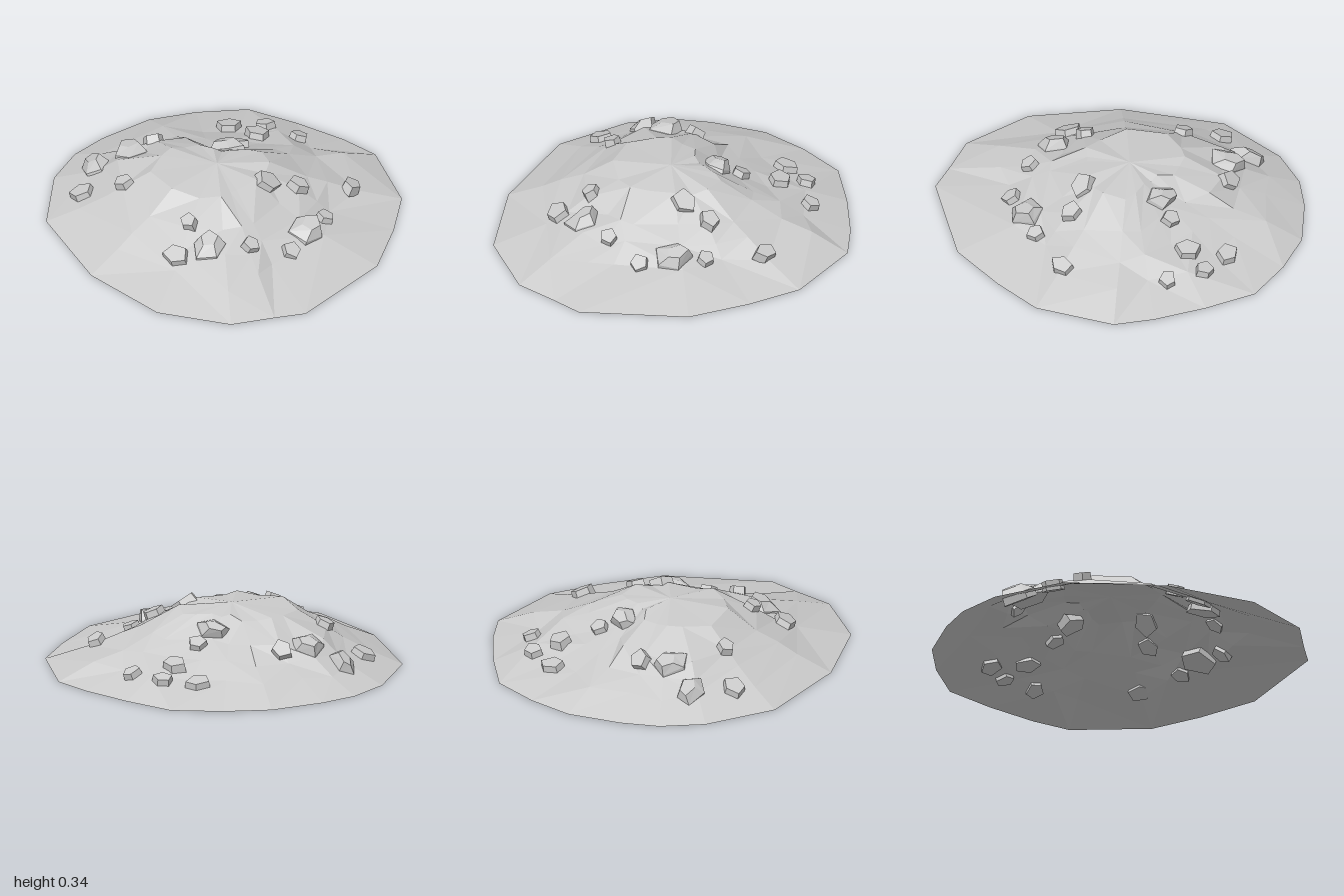
import * as THREE from 'three';

// Outline point x, z, then how far out (0 centre, 1 rim) the slope reaches each level
const SPOKES = [
  [-0.09, -1.0, 0.77, 0.47, 0.25], [0.17, -0.98, 0.7, 0.35, 0.18], [0.44, -0.91, 0.66, 0.33, 0.17],
  [0.64, -0.7, 0.75, 0.38, 0.18], [0.82, -0.47, 0.76, 0.45, 0.25], [0.93, -0.28, 0.78, 0.47, 0.28],
  [0.92, 0.16, 0.76, 0.48, 0.28], [0.78, 0.42, 0.65, 0.46, 0.28], [0.58, 0.71, 0.65, 0.4, 0.24],
  [0.07, 1.0, 0.63, 0.4, 0.22], [-0.1, 0.98, 0.72, 0.44, 0.24], [-0.34, 0.96, 0.78, 0.42, 0.26],
  [-0.67, 0.72, 0.72, 0.46, 0.3], [-0.88, 0.27, 0.78, 0.55, 0.36], [-0.93, -0.29, 0.8, 0.55, 0.38],
  [-0.75, -0.66, 0.8, 0.6, 0.35], [-0.57, -0.83, 0.8, 0.55, 0.32], [-0.38, -0.92, 0.78, 0.52, 0.28],
];
const CENTRE = [-0.05, -0.05];

// Small stones: x, z, radius, stretch along z, yaw
const STONES = [
  [0.25, -0.69, 0.072, 0.85, 0.3], [0.43, -0.62, 0.055, 1, 1.1], [0.34, -0.5, 0.066, 1.1, 0.1],
  [0.56, -0.46, 0.058, 0.8, 0.5], [0.19, -0.35, 0.055, 0.95, 0.7], [-0.23, -0.54, 0.06, 1, 0.2],
  [-0.7, -0.35, 0.068, 1, 0.4], [-0.52, -0.19, 0.052, 1.05, 0.9], [-0.33, 0.29, 0.05, 1, 0.1],
  [-0.45, 0.42, 0.066, 1.15, 0.4], [-0.07, 0.51, 0.052, 0.95, 0.8], [0.15, 0.54, 0.056, 0.95, 0.2],
  [0.42, 0.32, 0.052, 0.95, 0.6], [0.33, 0.15, 0.058, 1.05, 0.9], [0.16, 0.14, 0.076, 0.9, 0.1],
  [0.65, 0.1, 0.055, 1.2, -0.4],
];

// Large stones, with peaked tops
const BOULDERS = [
  [-0.38, -0.48, 0.108, 0.9, 0.9], [-0.56, -0.54, 0.075, 1.45, 0.1], [0.09, -0.27, 0.072, 1.4, 0.95],
  [0.28, 0.42, 0.098, 1.1, -0.3], [-0.28, 0.45, 0.095, 1.05, 0.15],
];

function stoneMaterial() {
  return new THREE.MeshStandardMaterial({ color: 0xcccccc, flatShading: true, side: THREE.DoubleSide });
}

// Open faceted shell lofted through rising contour rings
function moundGeometry() {
  const n = SPOKES.length, pos = [], index = [];
  const rings = [
    { y: 0, f: () => 1 },
    { y: 0.08, f: (s) => s[2] },
    { y: 0.14, f: (s) => s[2] * 0.48 + s[3] * 0.52 },
    { y: 0.2, f: (s) => s[3] },
    { y: 0.295, f: (s) => s[4] },
  ];
  rings.forEach((ring, r) => SPOKES.forEach((s, i) => {
    const wobble = r === 0 ? 0 : Math.sin(i * 2.3 + r * 1.9);
    const f = ring.f(s) * (1 + 0.03 * wobble);
    const y = r === 0 ? 0 : ring.y + 0.01 * Math.sin(i * 3.7 + r * 2.6);
    pos.push(CENTRE[0] + (s[0] - CENTRE[0]) * f, y, CENTRE[1] + (s[1] - CENTRE[1]) * f);
  }));
  const top = pos.length / 3;
  pos.push(CENTRE[0], 0.323, CENTRE[1]);
  for (let r = 0; r < rings.length - 1; r++) {
    for (let i = 0; i < n; i++) {
      const j = (i + 1) % n;
      const a = r * n + i, b = r * n + j, c = a + n, d = b + n;
      if ((i * 5 + r * 3) % 4 < 2) index.push(a, c, b, b, c, d);
      else index.push(a, c, d, a, d, b);
    }
  }
  const last = (rings.length - 1) * n;
  for (let i = 0; i < n; i++) index.push(last + i, top, last + ((i + 1) % n));
  const g = new THREE.BufferGeometry();
  g.setAttribute('position', new THREE.Float32BufferAttribute(pos, 3));
  g.setIndex(index);
  g.computeVertexNormals();
  return g;
}

// Five-sided slab; a boulder's top ring shrinks, rises and shifts aside
function rockGeometry(radius, stretch, big) {
  const h = big ? 0.085 : 0.055;
  const g = new THREE.CylinderGeometry(radius * 0.9, radius, h, 5, big ? 2 : 1);
  const p = g.attributes.position;
  for (let i = 0; i < p.count; i++) {
    let x = p.getX(i), y = p.getY(i), z = p.getZ(i);
    const k = 1 + 0.1 * Math.sin(Math.atan2(z, x) * 2 + radius * 90);
    x *= k;
    z *= k;
    if (big && y > 0.01) {
      x = x * 0.55 + radius * 0.2;
      z = z * 0.65 - radius * 0.15;
      y += x * 0.15;
    }
    p.setXYZ(i, x, y, z * stretch);
  }
  g.computeVertexNormals();
  return g;
}

export function createModel() {
  const model = new THREE.Group();
  model.name = 'rockyMound';

  const mound = new THREE.Mesh(moundGeometry(), stoneMaterial());
  mound.name = 'mound';
  model.add(mound);

  // Seat each rock on the slope, tilted to match the ground
  const ray = new THREE.Raycaster();
  const up = new THREE.Vector3(0, 1, 0), down = new THREE.Vector3(0, -1, 0);
  const material = stoneMaterial();
  const scatter = (list, name, big) => list.forEach(([x, z, radius, stretch, yaw]) => {
    ray.set(new THREE.Vector3(x, 2, z), down);
    const hit = ray.intersectObject(mound)[0];
    const normal = hit.face.normal.clone();
    if (normal.y < 0) normal.negate();
    const rock = new THREE.Mesh(rockGeometry(radius, stretch, big), material);
    rock.name = name;
    rock.position.copy(hit.point).addScaledVector(normal, 0.008);
    rock.quaternion.setFromUnitVectors(up, normal);
    rock.rotateY(yaw);
    model.add(rock);
  });
  scatter(STONES, 'smallStone', false);
  scatter(BOULDERS, 'boulder', true);
  return model;
}
